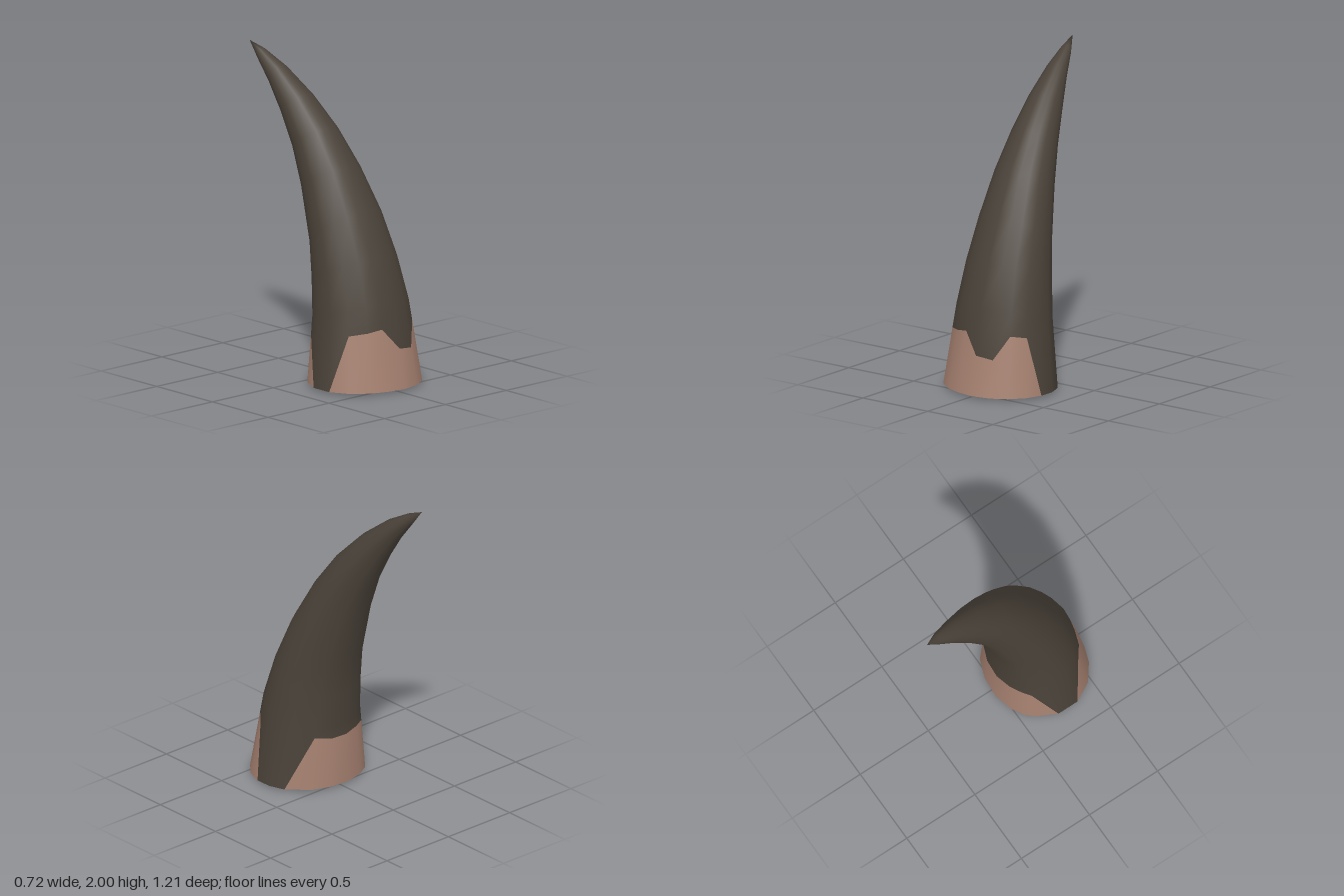
import * as THREE from 'three';

// Base outline, counter-clockwise from above: [x, z, height of the skin edge (0 = bare horn)]
const BASE = [
  [-0.36, 0.35, 0], [-0.295, 0.47, 0.36], [-0.19, 0.55, 0.375], [-0.09, 0.585, 0.39],
  [0.03, 0.605, 0.26], [0.15, 0.58, 0.245], [0.245, 0.525, 0.39], [0.32, 0.435, 0.375],
  [0.355, 0.335, 0], [0.355, 0.23, 0], [0.32, 0.13, 0], [0.2, 0.015, 0.35],
  [0.08, -0.03, 0.33], [-0.05, -0.04, 0.33], [-0.17, -0.01, 0.34], [-0.25, 0.035, 0.34],
  [-0.295, 0.085, 0.31], [-0.36, 0.21, 0],
];

// Tilted cross-sections: [front y, front z, back y, back z, min x, max x]
const RINGS = [
  [0.54, 0.51, 0.40, -0.025, -0.305, 0.30],
  [0.81, 0.425, 0.62, -0.04, -0.28, 0.265],
  [1.08, 0.305, 0.82, -0.06, -0.255, 0.225],
  [1.33, 0.165, 1.17, -0.15, -0.225, 0.16],
  [1.55, 0.005, 1.40, -0.235, -0.20, 0.10],
  [1.73, -0.17, 1.60, -0.335, -0.185, 0.038],
  [1.88, -0.36, 1.76, -0.43, -0.17, -0.028],
  [1.965, -0.51, 1.89, -0.525, -0.157, -0.085],
];
const TIP = [-0.14, 2, -0.605];
const BASE_Y = 0.015;
const N = BASE.length;

// Fits the base outline into a cross-section
function ringPoint([fy, fz, by, bz, x0, x1], [x, z]) {
  const u = (x + 0.36) / 0.715;
  const w = (z + 0.04) / 0.645;
  return [x0 + (x1 - x0) * u, by + (fy - by) * w, bz + (fz - bz) * w];
}

export function createModel() {
  const group = new THREE.Group();
  group.name = 'horn';
  const hornMaterial = new THREE.MeshStandardMaterial({ color: 0x4a4239 });
  hornMaterial.name = 'dark horn';
  const skinMaterial = new THREE.MeshStandardMaterial({ color: 0xa68170 });
  skinMaterial.name = 'skin';

  const points = [];
  const add = (p) => points.push(p) - 1;

  // Rows of vertex indices: base, jagged skin edge, cross-sections, tip
  const base = BASE.map(([x, z]) => add([x, BASE_Y, z]));
  const edge = BASE.map((b, j) => {
    if (!b[2]) return base[j];
    const top = ringPoint(RINGS[0], b);
    const t = (b[2] - BASE_Y) / (top[1] - BASE_Y);
    return add(points[base[j]].map((v, k) => v + (top[k] - v) * t));
  });
  const rings = RINGS.map((r) => BASE.map((b) => add(ringPoint(r, b))));
  const tip = add(TIP);
  const rows = [edge, ...rings, new Array(N).fill(tip)];

  // Joins two rows, skipping triangles that collapse
  const band = (a, b, out) => {
    for (let j = 0; j < N; j++) {
      const k = (j + 1) % N;
      for (const t of [[a[j], a[k], b[k]], [a[j], b[k], b[j]]]) {
        if (new Set(t).size === 3) out.push(...t);
      }
    }
  };
  const skinIndex = [];
  const hornIndex = [];
  band(base, edge, skinIndex);
  for (let i = 0; i < rows.length - 1; i++) band(rows[i], rows[i + 1], hornIndex);

  // Smooth normals shared across the colour border
  const whole = new THREE.BufferGeometry();
  whole.setAttribute('position', new THREE.Float32BufferAttribute(points.flat(), 3));
  whole.setIndex([...skinIndex, ...hornIndex]);
  whole.computeVertexNormals();

  const addPart = (name, geometry, material) => {
    const mesh = new THREE.Mesh(geometry, material);
    mesh.name = name;
    group.add(mesh);
  };
  addPart('skinCollar', whole.clone().setIndex(skinIndex), skinMaterial);
  addPart('hornBody', whole.clone().setIndex(hornIndex), hornMaterial);

  // Slightly bulged underside
  const cap = new THREE.BufferGeometry();
  const capPoints = [0, 0, 0.28, ...BASE.flatMap(([x, z]) => [x, BASE_Y, z])];
  cap.setAttribute('position', new THREE.Float32BufferAttribute(capPoints, 3));
  cap.setIndex(BASE.flatMap((_, j) => [0, 1 + ((j + 1) % N), 1 + j]));
  cap.computeVertexNormals();
  addPart('baseUnderside', cap, skinMaterial);

  return group;
}
